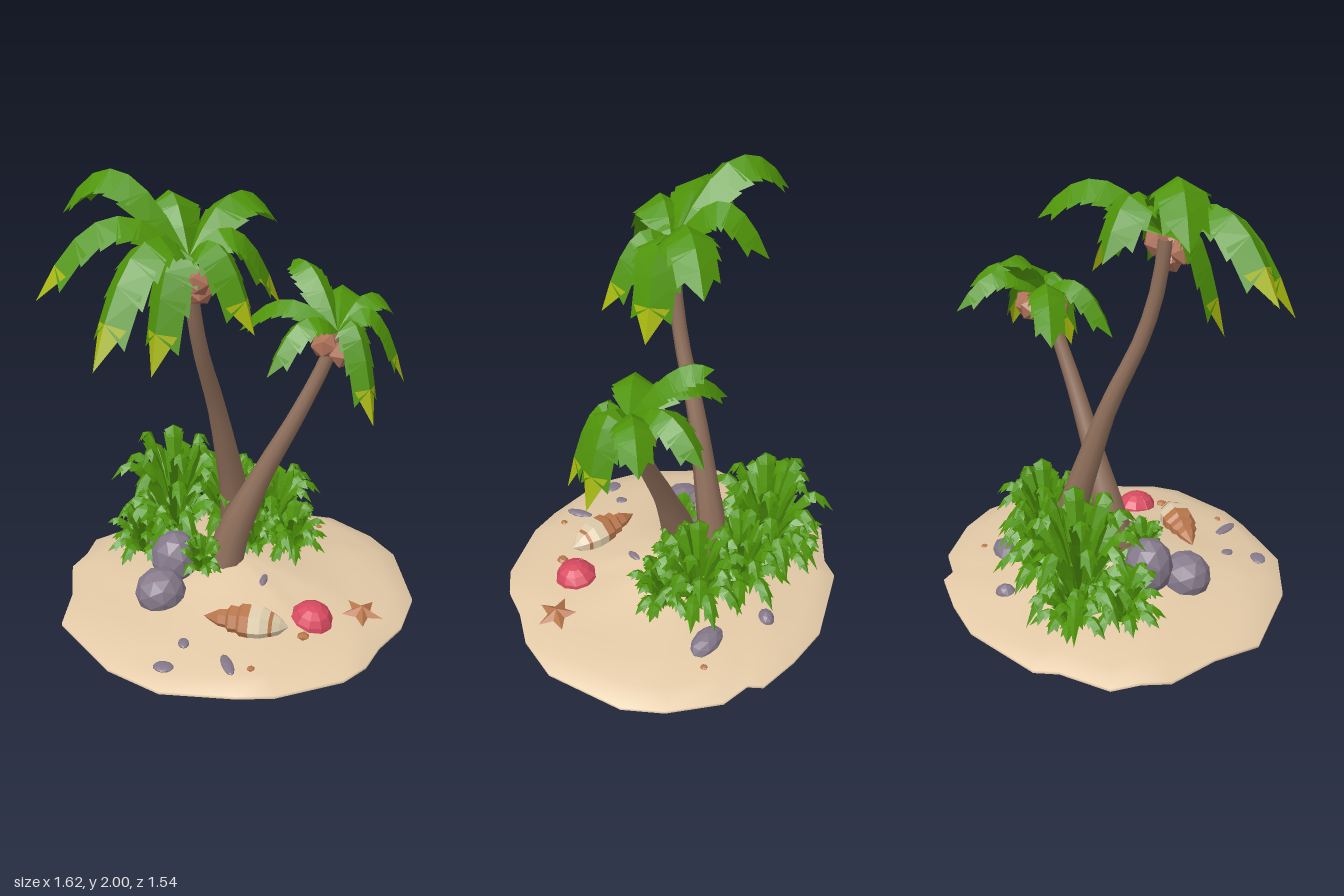
import * as THREE from 'three';
import { mergeGeometries } from 'three/addons/utils/BufferGeometryUtils.js';

const V = (x, y, z) => new THREE.Vector3(x, y, z);
const mat = (name, color, extra = {}) => Object.assign(new THREE.MeshStandardMaterial({ color, ...extra }), { name });

// Small seeded generator for natural variation
function seeded(seed) {
  return () => ((seed = (seed * 16807) % 2147483647) - 1) / 2147483646;
}

// Mound height by normalised distance from the middle
const PROFILE = [[0, 0.19], [0.12, 0.185], [0.3, 0.145], [0.5, 0.103], [0.7, 0.076], [0.88, 0.05], [1, 0.015]];
function moundHeight(s) {
  for (let i = 1; i < PROFILE.length; i++) {
    const [a, ya] = PROFILE[i - 1], [b, yb] = PROFILE[i];
    if (s <= b) return ya + (yb - ya) * (s - a) / (b - a);
  }
  return 0.015;
}
const ground = (x, z) => moundHeight(Math.hypot(x, z) / 0.77);

// Shore outline as x, z pairs
const SHORE = [[0.15, -0.77], [-0.05, -0.76], [-0.26, -0.72], [-0.58, -0.52], [-0.62, -0.42], [-0.78, -0.25], [-0.78, -0.12],
  [-0.81, 0], [-0.73, 0.22], [-0.7, 0.43], [-0.4, 0.68], [-0.15, 0.77], [0.17, 0.73], [0.32, 0.69], [0.58, 0.53], [0.66, 0.42],
  [0.7, 0.28], [0.78, 0.12], [0.81, -0.1], [0.69, -0.45], [0.56, -0.59], [0.34, -0.72], [0.2, -0.72]];

// Sand mound lofted from scaled copies of the shore
function moundGeometry() {
  const n = SHORE.length, pos = [], idx = [];
  const rings = [...PROFILE.slice(1), [1, 0]];
  pos.push(0, PROFILE[0][1], 0);
  rings.forEach(([s, y], r) => SHORE.forEach(([x, z], i) => {
    const bump = r > 1 && r < 5 ? 0.006 * Math.sin(i * 2.1 + r * 1.7) : 0;
    pos.push(x * s, y + bump, z * s);
  }));
  for (let i = 0; i < n; i++) {
    const j = (i + 1) % n;
    idx.push(0, 1 + i, 1 + j);
    for (let r = 0; r < rings.length - 1; r++) {
      const a = 1 + r * n + i, b = 1 + r * n + j;
      idx.push(a, a + n, b, b, a + n, b + n);
    }
  }
  const g = new THREE.BufferGeometry();
  g.setAttribute('position', new THREE.Float32BufferAttribute(pos, 3));
  g.setIndex(idx);
  g.computeVertexNormals();
  return g;
}

// Tapered tube through the given points
function trunkGeometry(points, radii) {
  const curve = new THREE.CatmullRomCurve3(points), rows = 14, sides = 9;
  const g = new THREE.TubeGeometry(curve, rows, 1, sides), p = g.attributes.position, v = V();
  for (let i = 0; i < p.count; i++) {
    const t = Math.floor(i / (sides + 1)) / rows, c = curve.getPointAt(t);
    const f = t * (radii.length - 1), k = Math.min(Math.floor(f), radii.length - 2);
    const r = THREE.MathUtils.lerp(radii[k], radii[k + 1], f - k);
    v.fromBufferAttribute(p, i).sub(c).multiplyScalar(r).add(c);
    p.setXYZ(i, v.x, v.y, v.z);
  }
  g.computeVertexNormals();
  return g;
}

// Arched, folded leaf with saw-tooth edges; returns the part between two segments
function frondGeometry(base, tip, lift, width, segs, notch, from, to) {
  const ctrl = base.clone().lerp(tip, 0.54).setY(base.y + lift);
  const curve = new THREE.QuadraticBezierCurve3(base, ctrl, tip);
  const side = V(tip.x - base.x, 0, tip.z - base.z).normalize().cross(V(0, 1, 0));
  const edge = (t, s, k) => {
    t = Math.min(t, 1);
    const w = k * width * Math.pow(Math.sin(Math.PI * (0.12 + 0.78 * t)), 0.5);
    const down = curve.getTangent(t).cross(side);
    return curve.getPoint(t).addScaledVector(side, s * w * 0.9).addScaledVector(down, w * 0.55);
  };
  const pos = [];
  for (let i = from; i < to; i++) {
    const t0 = i / segs, t1 = (i + 1) / segs, a = curve.getPoint(t0), b = curve.getPoint(t1);
    for (const s of [1, -1]) {
      const e0 = edge(t0, s, i ? notch : 0.15);
      const e1 = i === segs - 1 ? b : edge(t1 + 0.45 / segs, s, 1);
      const tris = s > 0 ? [a, e0, b, b, e0, e1] : [a, b, e0, b, e1, e0];
      tris.forEach(q => pos.push(q.x, q.y, q.z));
    }
  }
  const g = new THREE.BufferGeometry();
  g.setAttribute('position', new THREE.Float32BufferAttribute(pos, 3));
  g.computeVertexNormals();
  return g;
}

export function createModel() {
  const model = new THREE.Group();
  model.name = 'palmIsland';
  const sand = mat('sand', 0xe2c9a6);
  const leaf = mat('leafGreen', 0x50950a, { side: THREE.DoubleSide });
  const leafTip = mat('leafTipYellow', 0xa8b80e, { side: THREE.DoubleSide });
  const bark = mat('bark', 0x8c6c58);
  const nut = mat('coconutBrown', 0xb0725a, { flatShading: true });
  const stone = mat('stoneGrey', 0x85798a, { flatShading: true });
  const cream = mat('shellCream', 0xdccbab, { flatShading: true });
  const rust = mat('shellBrown', 0xb9774c, { flatShading: true });
  const red = mat('shellRed', 0xd84a60, { flatShading: true });

  const add = (name, geo, material, parent = model) => {
    const m = new THREE.Mesh(geo, material);
    m.name = name;
    parent.add(m);
    return m;
  };

  // Island
  add('sandMound', moundGeometry(), sand);
  const under = new THREE.ShapeGeometry(new THREE.Shape(SHORE.map(([x, z]) => new THREE.Vector2(x, z))));
  add('islandUnderside', under.rotateX(Math.PI / 2), sand);

  // Palms: trunk, coconuts, and fronds as [tip x, y, z, lift, yellow tip]
  function palm(name, path, radii, crown, width, nuts, fronds) {
    const g = new THREE.Group();
    g.name = name;
    model.add(g);
    add('trunk', trunkGeometry(path, radii), bark, g);
    nuts.forEach(([x, y, z], i) => {
      const c = add('coconut', new THREE.IcosahedronGeometry(0.064, 0), nut, g);
      c.position.set(crown.x + x, crown.y + y, crown.z + z);
      c.rotation.set(i, i * 2, 0);
    });
    const green = [], yellow = [];
    fronds.forEach(([x, y, z, lift, tipped]) => {
      const args = [crown, V(x, y, z), lift, width, 7, 0.78];
      green.push(frondGeometry(...args, 0, tipped ? 6 : 7));
      if (tipped) yellow.push(frondGeometry(...args, 6, 7));
    });
    add('fronds', mergeGeometries(green), leaf, g);
    add('frondTips', mergeGeometries(yellow), leafTip, g);
  }

  palm('tallPalm',
    [V(-0.05, 0.12, -0.27), V(-0.06, 0.45, -0.2), V(-0.075, 0.65, -0.14), V(-0.1, 0.93, -0.05), V(-0.13, 1.25, 0.09),
      V(-0.145, 1.48, 0.15), V(-0.15, 1.66, 0.17)],
    [0.085, 0.07, 0.055, 0.042, 0.035, 0.032, 0.03], V(-0.15, 1.68, 0.17), 0.135,
    [[0.05, -0.07, 0.08], [0.0, -0.08, 0.08], [0.09, -0.06, 0], [0.05, -0.12, 0.04]],
    [[-0.71, 1.79, 0.06, 0.57, 0], [-0.7, 1.54, 0.42, 0.42, 1], [-0.4, 1.36, 0.64, 0.36, 1], [-0.25, 1.25, 0.4, 0.24, 1],
      [0.14, 1.42, 0.29, 0.26, 1], [0.18, 1.43, -0.04, 0.3, 1], [0.1, 1.71, -0.29, 0.4, 0], [-0.38, 1.66, -0.16, 0.44, 0]]);

  palm('shortPalm',
    [V(-0.06, 0.12, 0.02), V(-0.03, 0.28, -0.01), V(0.1, 0.6, -0.06), V(0.24, 0.88, -0.11), V(0.34, 1.1, -0.16), V(0.4, 1.26, -0.19)],
    [0.09, 0.075, 0.05, 0.04, 0.033, 0.03], V(0.4, 1.27, -0.2), 0.1,
    [[-0.05, -0.05, 0.04], [0.03, -0.08, 0.05], [0.03, -0.05, -0.07], [-0.03, -0.05, -0.06]],
    [[0.59, 0.92, -0.03, 0.26, 1], [0.69, 1.02, -0.29, 0.3, 1], [0.6, 1.26, -0.5, 0.26, 0], [0.37, 1.24, -0.6, 0.28, 0],
      [0.16, 1.5, -0.42, 0.33, 0], [-0.05, 1.2, -0.28, 0.26, 0], [0.14, 1.13, 0.04, 0.24, 0]]);

  // Ferns behind the palms: [x, z, radius, height, leaves]
  const rand = seeded(17);
  [[-0.36, -0.26, 0.31, 0.56, 9], [0.1, -0.29, 0.27, 0.42, 9], [-0.47, -0.1, 0.2, 0.24, 8], [-0.12, -0.34, 0.25, 0.4, 8],
    [0.22, -0.2, 0.18, 0.24, 7], [-0.14, 0.1, 0.12, 0.16, 7], [0.06, -0.1, 0.14, 0.2, 7], [-0.43, -0.31, 0.2, 0.26, 8]
  ].forEach(([x, z, r, h, n], k) => {
    const y = ground(x, z), leaves = [];
    // Low outer leaves, arching middle leaves, and a few tall ones
    [[1, 0.06, 0.75, n], [0.95, 0.55, 1.15, n], [0.65, 0.78, 1.35, 6]].forEach(([reach, rise, lift, count], ring) => {
      for (let i = 0; i < count; i++) {
        const a = (i + ring / 2 + rand() * 0.5) * Math.PI * 2 / count;
        const d = r * reach * (0.85 + rand() * 0.22);
        const tip = V(x + d * Math.cos(a), y + h * rise + rand() * 0.05, z + d * Math.sin(a));
        leaves.push(frondGeometry(V(x, y, z), tip, h * lift, 0.03 + 0.08 * r, 6, 0.6, 0, 6));
      }
    });
    add('fern' + (k + 1), mergeGeometries(leaves), leaf);
  });

  // Boulders and flat pebbles: [x, y, z, half width, half height, half depth, turn]
  [[-0.29, 0.13, 0.25, 0.115, 0.11, 0.11, 0.4], [-0.27, 0.2, 0.08, 0.11, 0.135, 0.11, 1.2], [-0.36, 0.13, -0.08, 0.09, 0.1, 0.09, 2],
    [0.2, 0.07, -0.46, 0.1, 0.06, 0.06, 0.2], [-0.1, 0.06, -0.53, 0.05, 0.05, 0.04, 1], [-0.16, 0.052, 0.66, 0.045, 0.012, 0.035, 0],
    [-0.11, 0.077, 0.52, 0.025, 0.012, 0.035, 0.3], [0.1, 0.062, 0.6, 0.025, 0.012, 0.07, 0.5], [0.15, 0.155, 0.1, 0.018, 0.015, 0.045, 0]
  ].forEach(([x, y, z, a, b, c, turn], i) => {
    const s = add(i < 5 ? 'boulder' : 'pebble', new THREE.IcosahedronGeometry(1, 1), stone);
    s.position.set(x, y, z);
    s.scale.set(a, b, c);
    s.rotation.y = turn;
  });
  [[0.38, 0.085, 0.37, 0.028], [0.2, 0.06, 0.6, 0.018], [0.3, 0.06, -0.55, 0.018]].forEach(([x, y, z, r]) => {
    const s = add('brownPebble', new THREE.IcosahedronGeometry(r, 0), rust);
    s.position.set(x, y, z);
    s.scale.y = 0.5;
  });

  // Spiral shell: brown stepped spire and cream mouth with a brown band
  const conch = new THREE.Group();
  conch.name = 'spiralShell';
  conch.position.set(0.15, 0.12, 0.37);
  model.add(conch);
  const lathe = pts => new THREE.LatheGeometry(pts.map(p => new THREE.Vector2(...p)), 7);
  add('spire', lathe([[0.082, 0], [0.08, 0.04], [0.064, 0.055], [0.066, 0.09], [0.044, 0.105], [0.04, 0.14], [0, 0.21]])
    .rotateZ(Math.PI / 2), rust, conch);
  add('mouth', lathe([[0.082, 0], [0.078, 0.05], [0.062, 0.085]]).rotateZ(-Math.PI / 2), cream, conch);
  add('mouthBand', lathe([[0.062, 0.085], [0.055, 0.1]]).rotateZ(-Math.PI / 2), rust, conch);
  add('mouthTip', lathe([[0.055, 0.1], [0.035, 0.13], [0, 0.165]]).rotateZ(-Math.PI / 2), cream, conch);

  // Ribbed red shell and starfish: cones and domes with every other spoke pulled in
  function spokes(geo, pull) {
    const p = geo.attributes.position;
    for (let i = 0; i < p.count; i++) {
      const a = Math.atan2(p.getX(i), p.getZ(i)), step = Math.round(a / (Math.PI / 5));
      const k = Math.abs(step) % 2 ? pull : 1;
      p.setXYZ(i, p.getX(i) * k, p.getY(i), p.getZ(i) * k);
    }
    return geo;
  }
  const dome = add('redShell', spokes(new THREE.SphereGeometry(1, 10, 4, 0, Math.PI * 2, 0, Math.PI / 2), 0.95), red);
  dome.position.set(0.395, 0.07, 0.24);
  dome.scale.set(0.1, 0.09, 0.105);
  dome.rotation.set(0.1, 0.3, -0.1);
  const star = add('starfish', spokes(new THREE.ConeGeometry(0.1, 0.035, 10), 0.45), rust);
  star.position.set(0.6, 0.083, 0.12);
  star.rotation.set(0.05, 0.2, -0.12);

  return model;
}
